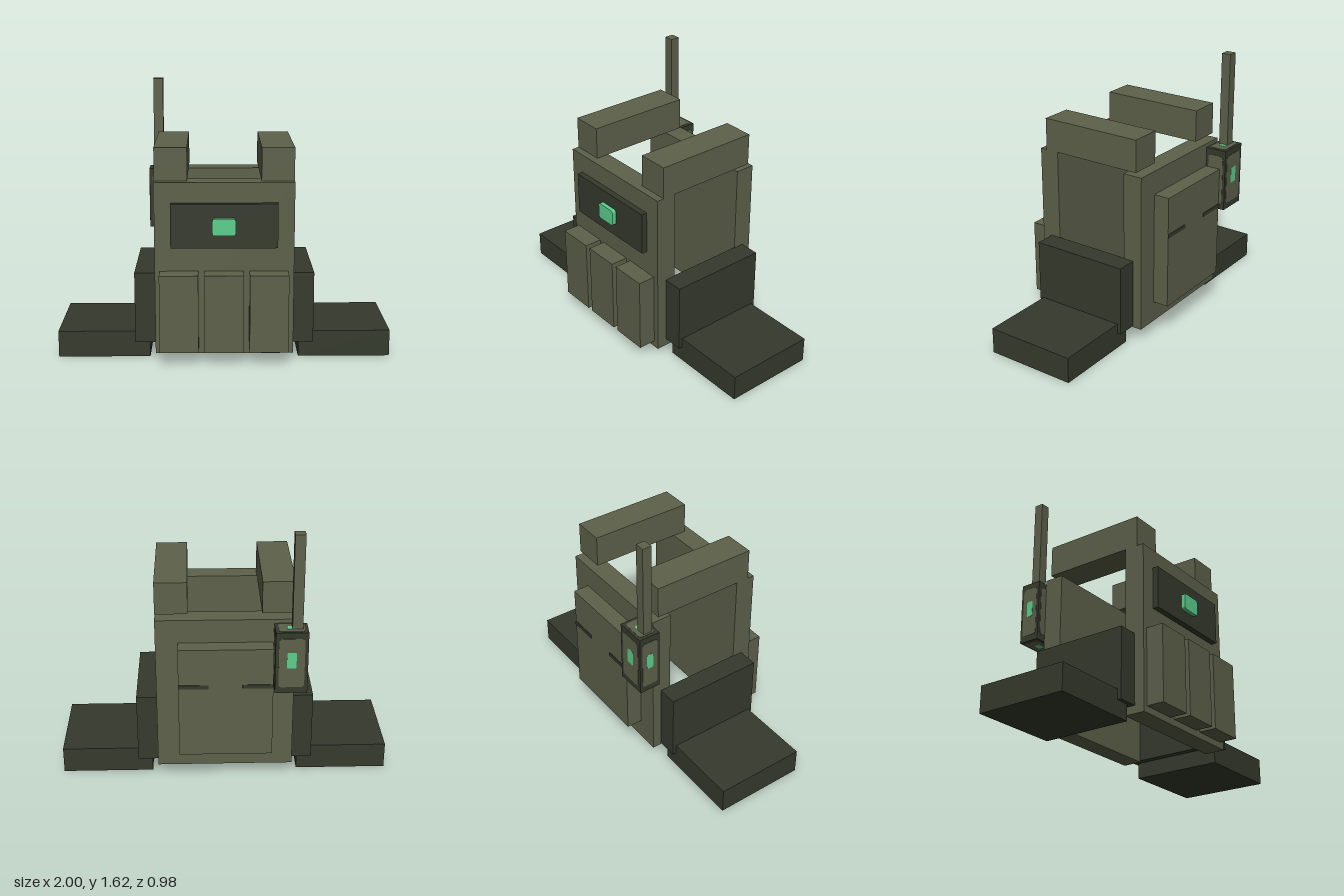
import * as THREE from 'three';

const mat = (name, color) => {
  const m = new THREE.MeshStandardMaterial({ color });
  m.name = name;
  return m;
};

export function createModel() {
  const olive = mat('olive', 0x5d614a);
  const dark = mat('darkOlive', 0x353a2d);
  const green = mat('signalGreen', 0x5bd08c);
  const model = new THREE.Group();
  model.name = 'tacticalVest';

  // Box given by its limits on each axis
  function box(name, material, x0, x1, y0, y1, z0, z1, parent = model) {
    const mesh = new THREE.Mesh(new THREE.BoxGeometry(x1 - x0, y1 - y0, z1 - z0), material);
    mesh.position.set((x0 + x1) / 2, (y0 + y1) / 2, (z0 + z1) / 2);
    mesh.name = name;
    parent.add(mesh);
    return mesh;
  }

  // Plate with rounded corners, lying in xy and rising towards +z
  function plate(name, material, w, h, r, depth) {
    const s = new THREE.Shape();
    const x = w / 2, y = h / 2;
    s.moveTo(-x + r, -y);
    s.lineTo(x - r, -y);
    s.absarc(x - r, -y + r, r, -Math.PI / 2, 0);
    s.absarc(x - r, y - r, r, 0, Math.PI / 2);
    s.absarc(-x + r, y - r, r, Math.PI / 2, Math.PI);
    s.absarc(-x + r, -y + r, r, Math.PI, Math.PI * 1.5);
    const geo = new THREE.ExtrudeGeometry(s, { depth, bevelEnabled: false, curveSegments: 4 });
    const mesh = new THREE.Mesh(geo, material);
    mesh.name = name;
    return mesh;
  }

  // Armour plates
  box('frontPlate', olive, -0.41, 0.41, 0.05, 1.088, 0.252, 0.379);
  box('backPlate', olive, -0.41, 0.41, 0.09, 1.065, -0.353, -0.23);

  // Shoulder straps, side guards and base slabs
  for (const [side, s] of [['left', 1], ['right', -1]]) {
    const pair = (name, m, a, b, ...rest) =>
      box(side + name, m, Math.min(a * s, b * s), Math.max(a * s, b * s), ...rest);
    pair('ShoulderStrap', olive, 0.217, 0.41, 1.088, 1.285, -0.315, 0.335);
    pair('SideGuard', dark, 0.405, 0.535, 0.098, 0.53, -0.296, 0.317);
    pair('BaseSlab', dark, 0.447, 1, 0, 0.16, -0.272, 0.293);
    // Dark slots on the back pack
    pair('PackSlot', dark, 0.1, 0.279, 0.668, 0.692, -0.456, -0.45);
  }

  // Chest panel with its light
  box('chestPanel', dark, -0.315, 0.312, 0.705, 0.968, 0.379, 0.415);
  const light = plate('chestLight', green, 0.136, 0.1, 0.015, 0.026);
  light.position.set(-0.003, 0.835, 0.414);
  model.add(light);

  // Front pouches
  for (const x of [-0.267, -0.003, 0.261])
    box('frontPouch', olive, x - 0.114, x + 0.114, 0.09, 0.558, 0.379, 0.487);

  // Back pack
  box('backPack', olive, -0.28, 0.278, 0.22, 0.92, -0.452, -0.353);

  // Radio: dark case with an olive panel and green inset on every face
  const radio = new THREE.Group();
  radio.name = 'radio';
  radio.position.set(-0.38, 0.847, -0.42);
  model.add(radio);
  const W = 0.19, H = 0.386, D = 0.134;
  box('radioCase', dark, -W / 2, W / 2, -H / 2, H / 2, -D / 2, D / 2, radio);
  const q = Math.PI / 2;
  // rotation x, rotation y, face width, face height, distance, margin x, margin y, inset size, inset rise
  const faces = [
    [0, 0, W, H, D / 2, 0.02, 0.038, 0.055, 0.1, 0.018],
    [0, 2 * q, W, H, D / 2, 0.02, 0.038, 0.055, 0.1, 0.018],
    [0, q, D, H, W / 2, 0.016, 0.038, 0.042, 0.1, 0.018],
    [0, -q, D, H, W / 2, 0.016, 0.038, 0.042, 0.1, 0.018],
    [-q, 0, W, D, H / 2, 0.02, 0.016, 0.05, 0.042, 0],
    [q, 0, W, D, H / 2, 0.02, 0.016, 0.05, 0.042, 0],
  ];
  for (const [rx, ry, w, h, dist, mx, my, iw, ih, rise] of faces) {
    const face = new THREE.Group();
    face.name = 'radioFace';
    face.rotation.set(rx, ry, 0);
    const panel = plate('radioPanel', olive, w - 2 * mx, h - 2 * my, 0.018, 0.003);
    panel.position.z = dist - 0.001;
    const inset = plate('radioInset', green, iw, ih, 0.008, 0.003);
    inset.position.set(0, rise, dist + 0.0005);
    face.add(panel, inset);
    radio.add(face);
  }

  // Antenna
  box('antenna', olive, -0.444, -0.383, 1.03, 1.615, -0.44, -0.382);

  return model;
}
